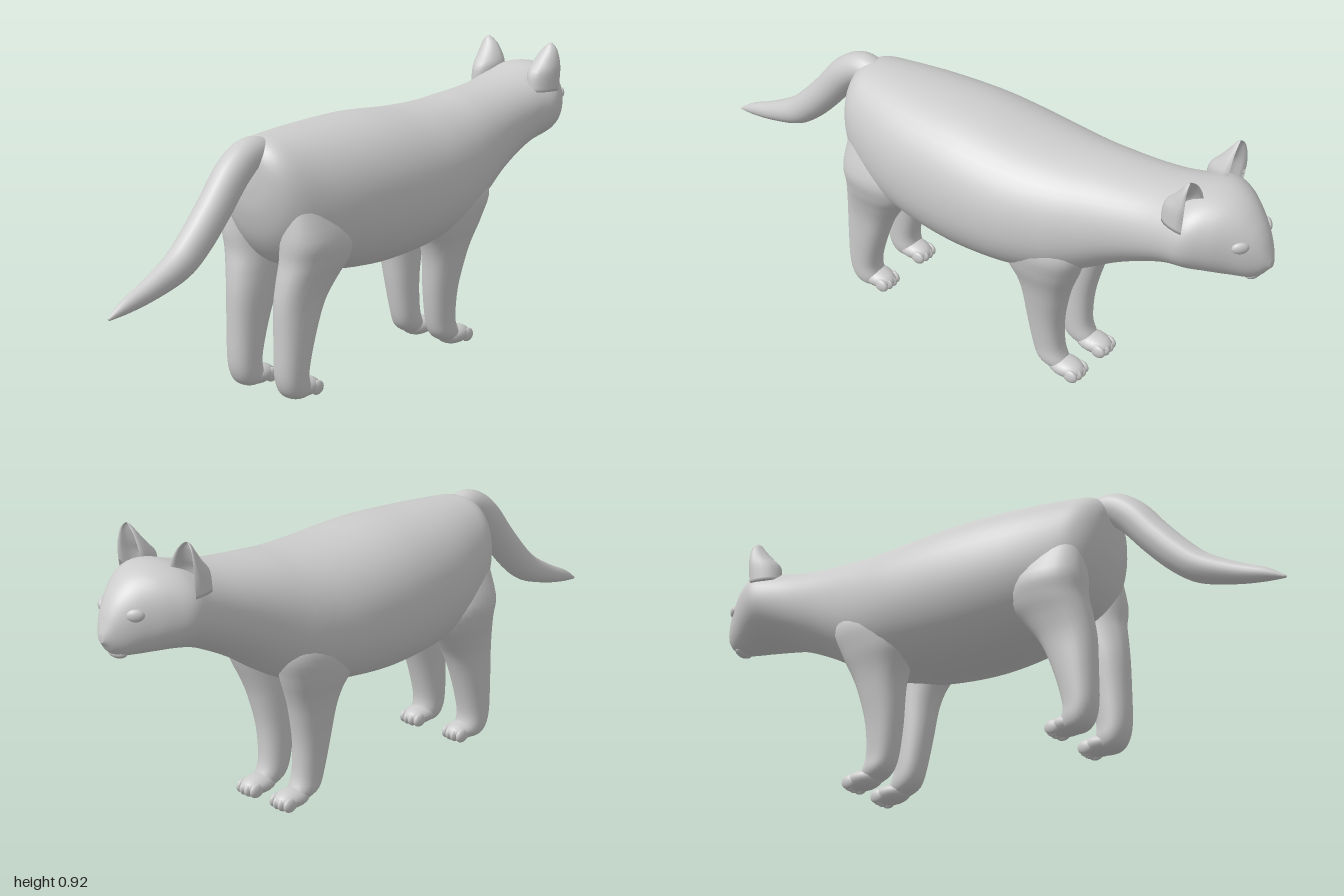
import * as THREE from 'three';

const material = new THREE.MeshStandardMaterial({ color: 0xcccccc, side: THREE.DoubleSide });
const V = (x, y, z) => new THREE.Vector3(x, y, z);

// Smoothly resample rows of numbers with a Catmull-Rom rule
function resample(rows, steps) {
  const out = [];
  const at = (i) => rows[Math.min(Math.max(i, 0), rows.length - 1)];
  for (let i = 0; i < rows.length - 1; i++) {
    for (let s = 0; s < steps; s++) {
      const t = s / steps;
      out.push(rows[i].map((b, k) => {
        const a = at(i - 1)[k], c = at(i + 1)[k], d = at(i + 2)[k];
        return b + 0.5 * t * (c - a + t * (2 * a - 5 * b + 4 * c - d + t * (3 * (b - c) + d - a)));
      }));
    }
  }
  out.push(rows[rows.length - 1]);
  return out;
}

// Skin a list of closed rings, close both ends and face the surface outwards
function loft(rings) {
  const n = rings[0].length, pts = rings.flat(), index = [];
  for (let r = 0; r < rings.length - 1; r++) {
    for (let i = 0; i < n; i++) {
      const a = r * n + i, b = r * n + (i + 1) % n;
      index.push(a, b, b + n, a, b + n, a + n);
    }
  }
  const last = (rings.length - 1) * n;
  for (const [start, flip] of [[0, true], [last, false]]) {
    const centre = V(0, 0, 0);
    for (let i = 0; i < n; i++) centre.addScaledVector(pts[start + i], 1 / n);
    pts.push(centre);
    for (let i = 0; i < n; i++) {
      const a = start + i, b = start + (i + 1) % n;
      index.push(...(flip ? [b, a, pts.length - 1] : [a, b, pts.length - 1]));
    }
  }
  let volume = 0;
  for (let i = 0; i < index.length; i += 3) {
    volume += pts[index[i]].dot(V(0, 0, 0).crossVectors(pts[index[i + 1]], pts[index[i + 2]]));
  }
  if (volume < 0) index.reverse();
  const geometry = new THREE.BufferGeometry().setFromPoints(pts);
  geometry.setIndex(index);
  geometry.computeVertexNormals();
  return geometry;
}

// Unit superellipse outline
function outline(n, power) {
  return Array.from({ length: n }, (_, i) => {
    const a = (i / n) * Math.PI * 2, c = Math.cos(a), s = Math.sin(a);
    return [Math.sign(c) * Math.abs(c) ** (2 / power), Math.sign(s) * Math.abs(s) ** (2 / power)];
  });
}

function add(parent, name, geometry) {
  const mesh = new THREE.Mesh(geometry, material);
  mesh.name = name;
  parent.add(mesh);
  return mesh;
}

function ellipsoid(parent, name, x, y, z, rx, ry, rz) {
  const mesh = add(parent, name, new THREE.SphereGeometry(1, 20, 14));
  mesh.position.set(x, y, z);
  mesh.scale.set(rx, ry, rz);
  return mesh;
}

// Torso, neck and head: z, top, bottom, half width
const BODY = [
  [0.465, 0.71, 0.64, 0.03], [0.455, 0.75, 0.56, 0.085], [0.42, 0.78, 0.47, 0.135],
  [0.35, 0.789, 0.40, 0.172], [0.2, 0.796, 0.355, 0.215], [0, 0.80, 0.335, 0.237],
  [-0.2, 0.787, 0.35, 0.234], [-0.35, 0.786, 0.385, 0.21], [-0.45, 0.794, 0.435, 0.187],
  [-0.55, 0.802, 0.50, 0.168], [-0.65, 0.815, 0.553, 0.157], [-0.73, 0.833, 0.587, 0.158],
  [-0.8, 0.852, 0.604, 0.165], [-0.86, 0.85, 0.608, 0.134], [-0.91, 0.828, 0.61, 0.097],
  [-0.95, 0.79, 0.615, 0.066], [-0.975, 0.752, 0.63, 0.043], [-0.99, 0.715, 0.65, 0.026],
  [-1, 0.685, 0.662, 0.01],
];

// Legs: y, inner x, outer x, z towards the tail, z towards the head
const HIND_LEG = [
  [0.62, 0.05, 0.15, 0.41, 0.27], [0.5, 0.035, 0.198, 0.425, 0.19], [0.43, 0.032, 0.19, 0.424, 0.185],
  [0.37, 0.035, 0.17, 0.434, 0.225], [0.3, 0.038, 0.154, 0.442, 0.272], [0.2, 0.044, 0.148, 0.443, 0.312],
  [0.1, 0.048, 0.143, 0.442, 0.338], [0.05, 0.05, 0.14, 0.43, 0.33], [0.025, 0.06, 0.13, 0.41, 0.335],
  [0.015, 0.08, 0.11, 0.385, 0.355],
];
const FRONT_LEG = [
  [0.64, 0.06, 0.14, -0.27, -0.42], [0.52, 0.035, 0.195, -0.2, -0.46], [0.43, 0.03, 0.185, -0.185, -0.435],
  [0.36, 0.03, 0.162, -0.217, -0.406], [0.3, 0.03, 0.147, -0.235, -0.386], [0.2, 0.03, 0.128, -0.247, -0.366],
  [0.1, 0.03, 0.116, -0.265, -0.366], [0.05, 0.033, 0.114, -0.285, -0.385], [0.025, 0.045, 0.1, -0.32, -0.39],
  [0.015, 0.06, 0.088, -0.345, -0.375],
];

function buildLeg(parent, name, rows, side, paw) {
  const group = new THREE.Group();
  group.name = name;
  const shape = outline(28, 2.3);
  add(group, 'leg', loft(resample(rows, 4).map(([y, xi, xo, zb, zf]) => shape.map(([c, s]) =>
    V(side * ((xi + xo) / 2 + c * (xo - xi) / 2), y, (zb + zf) / 2 + s * (zb - zf) / 2)))));
  ellipsoid(group, 'paw', side * paw.x, paw.y, paw.z, 0.043, 0.03, 0.062);
  // Four toes, the middle two reaching further forward
  for (let i = 0; i < 4; i++) {
    const off = i - 1.5;
    ellipsoid(group, 'toe', side * paw.x + off * 0.02, paw.y - 0.006, paw.z - 0.042 + Math.abs(off) * 0.005,
      0.0115, 0.022, 0.026);
  }
  parent.add(group);
}

function buildEar(parent, side) {
  // y, centre x, half width, front z, depth of the cupped back
  const rows = [
    [0.775, 0.115, 0.045, -0.80, 0.09], [0.83, 0.112, 0.05, -0.805, 0.088], [0.865, 0.115, 0.045, -0.806, 0.06],
    [0.9, 0.121, 0.031, -0.804, 0.03], [0.918, 0.125, 0.016, -0.802, 0.016], [0.927, 0.126, 0.003, -0.8, 0.004],
  ];
  const n = 12;
  const rings = resample(rows, 4).map(([y, x, w, z, d]) => {
    const ring = [];
    for (let i = 0; i <= n; i++) {
      const a = (i / n) * Math.PI;
      ring.push(V(side * (x + Math.cos(a) * w), y, z + Math.sin(a) * d));
    }
    for (let i = n - 1; i > 0; i--) {
      const a = (i / n) * Math.PI;
      ring.push(V(side * (x + Math.cos(a) * w * 0.88), y, z + Math.sin(a) * d * 0.6));
    }
    return ring;
  });
  add(parent, side > 0 ? 'leftEar' : 'rightEar', loft(rings));
}

function buildTail(parent) {
  // z, y, radius
  const rows = resample([
    [0.37, 0.735, 0.03], [0.42, 0.742, 0.045], [0.47, 0.737, 0.05], [0.53, 0.692, 0.053], [0.6, 0.608, 0.052],
    [0.675, 0.527, 0.05], [0.745, 0.47, 0.045], [0.85, 0.424, 0.032], [0.94, 0.395, 0.02], [0.998, 0.373, 0.004],
  ], 5);
  const shape = outline(20, 2);
  add(parent, 'tail', loft(rows.map(([z, y, r], i) => {
    const p = rows[Math.max(i - 1, 0)], q = rows[Math.min(i + 1, rows.length - 1)];
    const across = V(0, q[0] - p[0], p[1] - q[1]).normalize();
    return shape.map(([c, s]) => V(c * r, y, z).addScaledVector(across, s * r));
  })));
}

export function createModel() {
  const cat = new THREE.Group();
  cat.name = 'cat';

  const shape = outline(48, 2.15);
  add(cat, 'body', loft(resample(BODY, 5).map(([z, top, bottom, w]) => shape.map(([c, s]) =>
    V(c * w, (top + bottom) / 2 + s * (top - bottom) / 2, z)))));

  // Muzzle: nose above a small chin
  ellipsoid(cat, 'nose', 0, 0.676, -0.98, 0.022, 0.016, 0.02);
  ellipsoid(cat, 'chin', 0, 0.624, -0.945, 0.035, 0.018, 0.022);

  for (const side of [1, -1]) {
    const label = side > 0 ? 'left' : 'right';
    buildEar(cat, side);
    const eye = ellipsoid(cat, label + 'Eye', side * 0.071, 0.74, -0.936, 0.025, 0.018, 0.012);
    eye.rotation.y = side * -0.8;
    buildLeg(cat, label + 'HindLeg', HIND_LEG, side, { x: 0.092, y: 0.043, z: 0.345 });
    buildLeg(cat, label + 'FrontLeg', FRONT_LEG, side, { x: 0.073, y: 0.034, z: -0.382 });
  }
  buildTail(cat);
  return cat;
}
